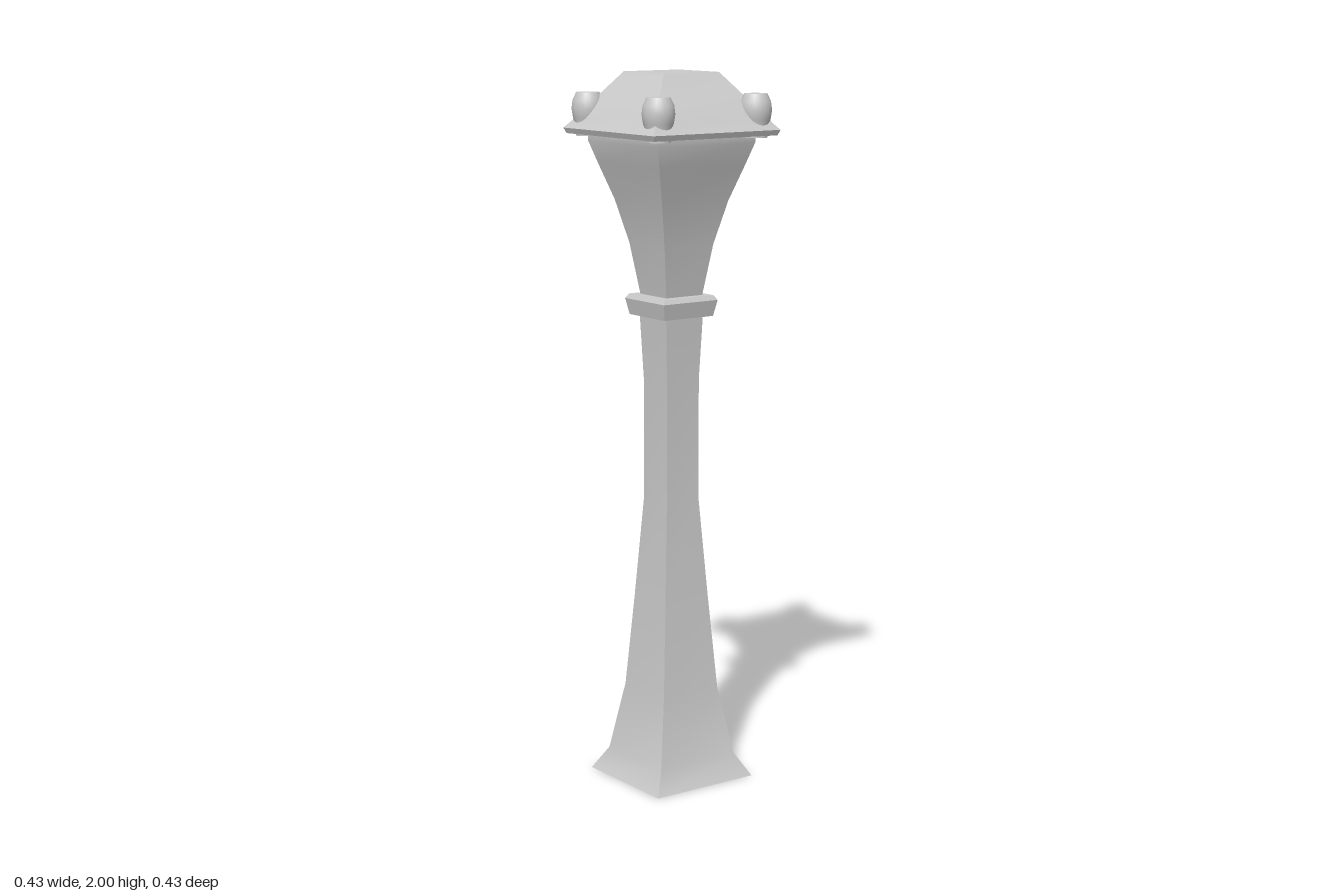
import * as THREE from 'three';

const grey = new THREE.MeshStandardMaterial({ color: 0xcccccc });

// Square tower lofted through [halfWidth, y] rings: smooth up each side, sharp at the corners, capped ends.
function squareLoft(name, profile) {
  const pos = [], idx = [];
  const corners = [[-1, 1], [1, 1], [1, -1], [-1, -1]];
  for (let s = 0; s < 4; s++) {
    const a = corners[s], b = corners[(s + 1) % 4], start = pos.length / 3;
    profile.forEach(([h, y], i) => {
      pos.push(a[0] * h, y, a[1] * h, b[0] * h, y, b[1] * h);
      if (i === 0) return;
      const p = start + (i - 1) * 2;
      idx.push(p, p + 1, p + 3, p, p + 3, p + 2);
    });
  }
  for (const top of [false, true]) {
    const [h, y] = profile[top ? profile.length - 1 : 0], p = pos.length / 3;
    for (const [x, z] of corners) pos.push(x * h, y, z * h);
    if (top) idx.push(p, p + 1, p + 2, p, p + 2, p + 3);
    else idx.push(p, p + 2, p + 1, p, p + 3, p + 2);
  }
  const geo = new THREE.BufferGeometry();
  geo.setAttribute('position', new THREE.Float32BufferAttribute(pos, 3));
  geo.setIndex(idx);
  geo.computeVertexNormals();
  const mesh = new THREE.Mesh(geo, grey);
  mesh.name = name;
  return mesh;
}

// Round knob with a flat top and a foot that passes through the roof rim
function knob(name, x, z) {
  const side = [[0.033, 1.824], [0.033, 1.85], [0.041, 1.873], [0.045, 1.898], [0.042, 1.922], [0.032, 1.943]]
    .map(([r, y]) => new THREE.Vector2(r, y));
  const group = new THREE.Group();
  group.name = name;
  group.add(new THREE.Mesh(new THREE.LatheGeometry(side, 24), grey));
  for (const [y, turn] of [[1.943, -1], [1.824, 1]]) {
    const cap = new THREE.Mesh(new THREE.CircleGeometry(turn < 0 ? 0.032 : 0.033, 24), grey);
    cap.rotation.x = turn * Math.PI / 2;
    cap.position.y = y;
    group.add(cap);
  }
  group.position.set(x, 0, z);
  return group;
}

export function createModel() {
  const model = new THREE.Group();
  model.name = 'lampPost';

  // Tapering post with flared foot
  model.add(squareLoft('post', [
    [0.165, 0], [0.128, 0.065], [0.094, 0.26], [0.074, 0.53],
    [0.055, 0.81], [0.055, 1.15], [0.063, 1.335],
  ]));

  // Collar between post and lantern
  model.add(squareLoft('collar', [[0.083, 1.33], [0.092, 1.375]]));
  model.add(squareLoft('collarTop', [[0.092, 1.375], [0.084, 1.388]]));

  // Flaring lantern body
  model.add(squareLoft('lantern', [
    [0.061, 1.385], [0.083, 1.53], [0.112, 1.65], [0.145, 1.75], [0.164, 1.81], [0.164, 1.835],
  ]));

  // Roof rim and curved hipped roof
  model.add(squareLoft('roofRim', [[0.207, 1.83], [0.213, 1.845]]));
  model.add(squareLoft('roof', [
    [0.213, 1.845], [0.196, 1.865], [0.175, 1.897], [0.137, 1.943], [0.093, 2.0],
  ]));

  // Knobs on the four roof corners
  for (const x of [-1, 1]) for (const z of [-1, 1]) {
    model.add(knob((z > 0 ? 'front' : 'back') + (x > 0 ? 'Left' : 'Right') + 'Knob', x * 0.163, z * 0.166));
  }
  return model;
}
